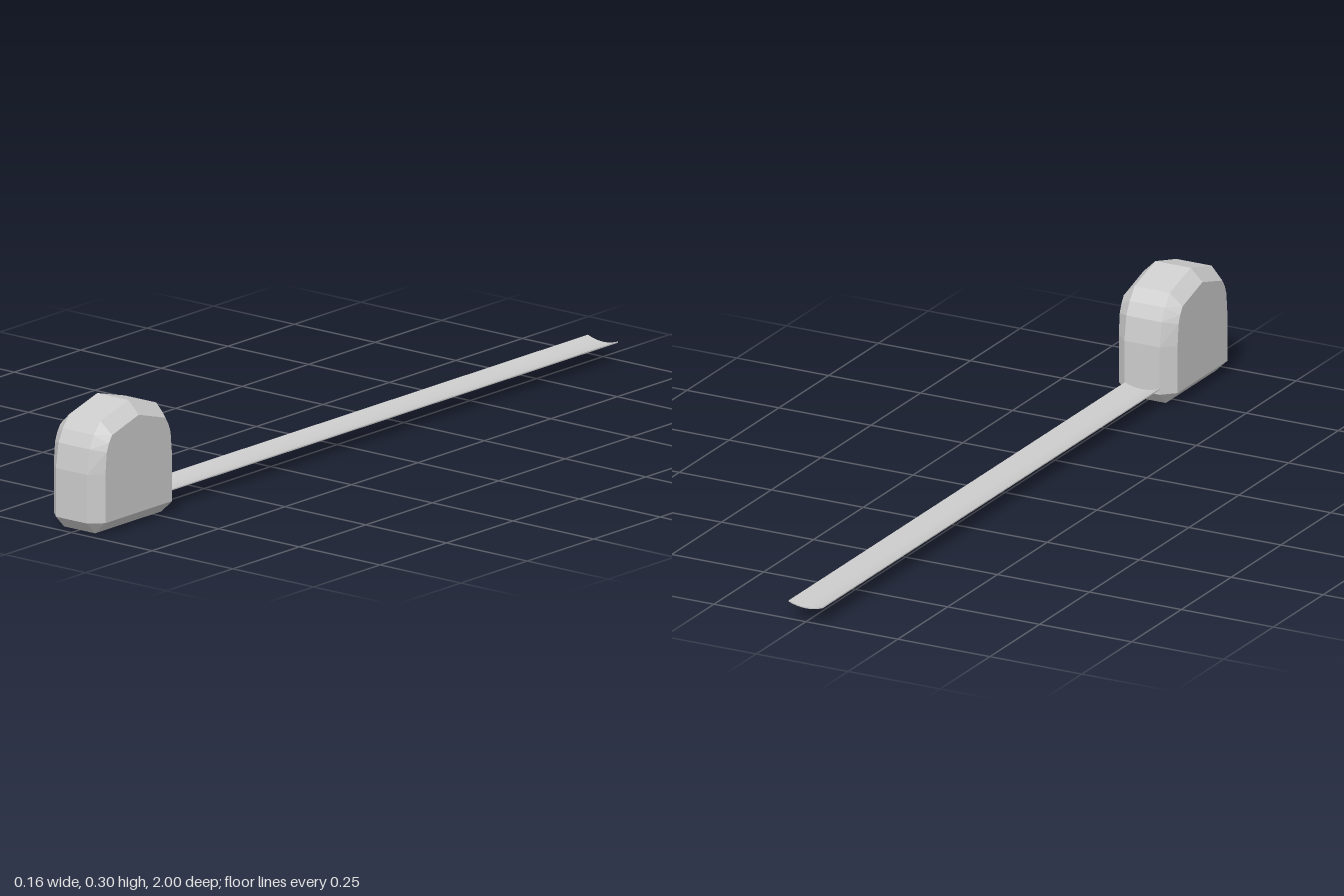
import * as THREE from 'three';

// Mirror a half profile of [z, y] points into a closed outline, front to back.
function mirrorProfile(half) {
  return [...half, ...half.filter(([z]) => z > 0).reverse().map(([z, y]) => [-z, y])];
}

// Skin a row of equal-length [x, y, z] rings and close both ends.
function loft(rings) {
  const positions = [], n = rings[0].length;
  const tri = (a, b, c) => positions.push(...a, ...b, ...c);
  for (let i = 0; i < rings.length - 1; i++) {
    for (let j = 0; j < n; j++) {
      const k = (j + 1) % n, a = rings[i], b = rings[i + 1];
      tri(a[j], b[k], a[k]);
      tri(a[j], b[j], b[k]);
    }
  }
  const first = rings[0], last = rings[rings.length - 1];
  for (let j = 1; j < n - 1; j++) {
    tri(first[0], first[j], first[j + 1]);
    tri(last[0], last[j + 1], last[j]);
  }
  const geometry = new THREE.BufferGeometry();
  geometry.setAttribute('position', new THREE.Float32BufferAttribute(positions, 3));
  geometry.computeVertexNormals();
  return geometry;
}

export function createModel() {
  const model = new THREE.Group();
  model.name = 'tapeMeasure';
  const grey = new THREE.MeshStandardMaterial({ color: 0xcccccc });
  grey.name = 'plainGrey';

  // Case: full outline across the middle, inset outline on the two side faces
  const middle = mirrorProfile([
    [0.125, 0], [0.156, 0.031], [0.156, 0.152], [0.146, 0.213],
    [0.13, 0.245], [0.105, 0.275], [0, 0.304],
  ]);
  const side = mirrorProfile([
    [0.125, 0.031], [0.125, 0.031], [0.125, 0.152], [0.12, 0.205],
    [0.112, 0.226], [0.1, 0.244], [0, 0.273],
  ]);
  const ring = (profile, x) => profile.map(([z, y]) => [x, y, z]);
  const body = new THREE.Mesh(loft([
    ring(side, -0.08), ring(middle, -0.048), ring(middle, 0.048), ring(side, 0.08),
  ]), grey);
  body.name = 'case';
  body.position.z = 0.844;
  model.add(body);

  // Blade: thin strip, cupped upward across its width
  const halfWidth = 0.047, steps = 8, thickness = 0.003;
  const curve = (offset) => Array.from({ length: steps + 1 }, (_, i) => {
    const t = (i / steps) * 2 - 1;
    return new THREE.Vector2(t * halfWidth, 0.034 + 0.009 * t * t + offset);
  });
  const section = new THREE.Shape([...curve(0), ...curve(thickness).reverse()]);
  const blade = new THREE.Mesh(
    new THREE.ExtrudeGeometry(section, { depth: 1.72, bevelEnabled: false }), grey);
  blade.name = 'blade';
  blade.position.z = -1;
  model.add(blade);

  return model;
}
